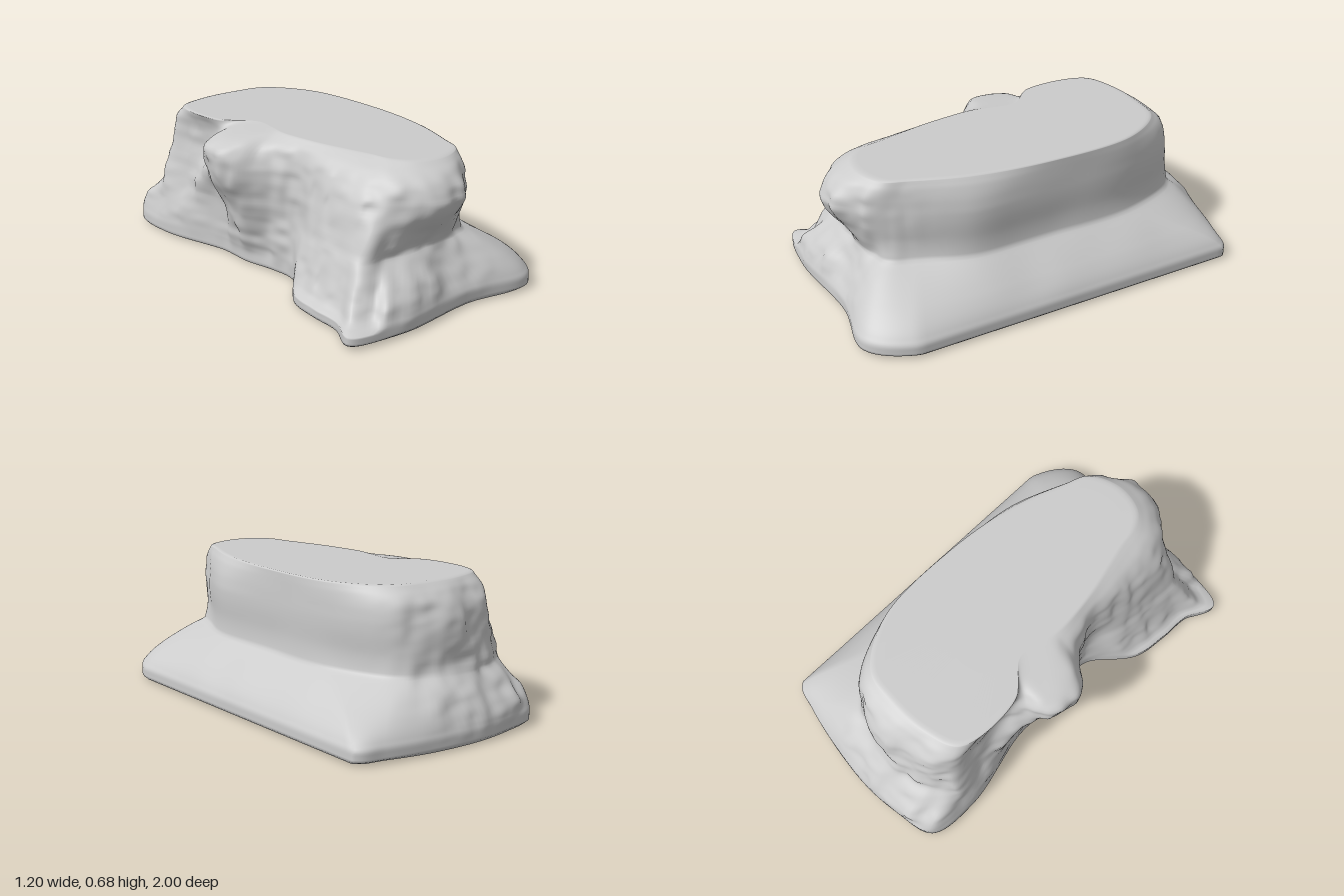
import * as THREE from 'three';

const { smoothstep, clamp, lerp } = THREE.MathUtils;

// Matching plan outlines (x, z), running right side -> front -> left -> back
const base = [.6,0, .6,.45, .595,.8, .45,.99, .12,.95, -.35,.985, -.6,.93, -.54,.78, -.53,.62, -.5,.45,
  -.34,.24, -.34,.08, -.37,-.08, -.37,-.28, -.455,-.68, -.42,-.93, -.22,-.985, .03,-1, .46,-.93, .6,-.87];
const neck = [.385,0, .38,.38, .28,.67, .22,.78, .05,.81, -.2,.82, -.42,.78, -.42,.7, -.42,.58, -.39,.42,
  -.33,.24, -.36,.1, -.45,-.08, -.39,-.25, -.4,-.55, -.39,-.75, -.2,-.84, .05,-.85, .24,-.76, .37,-.46];
const bulge = [.385,0, .38,.38, .26,.68, .2,.8, .04,.94, -.14,.91, -.3,.8, -.34,.72, -.35,.58, -.34,.42,
  -.33,.24, -.4,.09, -.54,-.07, -.51,-.23, -.36,-.35, -.35,-.7, -.2,-.79, .05,-.82, .23,-.74, .37,-.46];
const top = [.38,0, .33,.38, .24,.64, .19,.75, .04,.81, -.1,.78, -.16,.7, -.18,.6, -.21,.48, -.24,.35,
  -.26,.22, -.27,.08, -.25,-.03, -.24,-.15, -.36,-.3, -.34,-.62, -.18,-.69, .04,-.7, .2,-.67, .35,-.45];

const curves = [base, neck, bulge, top].map((o) => {
  const pts = [];
  for (let i = 0; i < o.length; i += 2) pts.push(new THREE.Vector3(o[i], 0, o[i + 1]));
  return new THREE.CatmullRomCurve3(pts, true, 'centripetal');
});

// Side profile: height, and position between the outlines (0 base ... 3 top)
const profile = [[.02, 0], [.06, 0], [.09, .06], [.12, .15], [.16, .32], [.2, .53], [.25, .8], [.29, 1],
  [.36, 1.28], [.43, 1.64], [.5, 1.94], [.55, 2.06], [.59, 2.18], [.635, 2.46], [.662, 2.78], [.676, 2.97]];
const side = new THREE.CatmullRomCurve3(profile.map(([y, t]) => new THREE.Vector3(t, y, 0)), false, 'centripetal');

// Value noise from a repeatable lattice hash
function hash(x, y, z) {
  const s = Math.sin(x * 127.1 + y * 311.7 + z * 74.7) * 43758.5453;
  return (s - Math.floor(s)) * 2 - 1;
}
function noise(x, y, z) {
  const i = [x, y, z].map(Math.floor);
  const [u, v, w] = [x, y, z].map((c, k) => smoothstep(c - i[k], 0, 1));
  const row = (b, c) => lerp(hash(i[0], i[1] + b, i[2] + c), hash(i[0] + 1, i[1] + b, i[2] + c), u);
  return lerp(lerp(row(0, 0), row(1, 0), v), lerp(row(0, 1), row(1, 1), v), w);
}

// Broad lumps, upright gullies and thin strata
function rough(x, y, z) {
  return .016 * noise(7 * x, 6 * y, 7 * z) + .014 * noise(17 * x + 5, 6 * y, 17 * z)
    + .007 * noise(12 * x, 24 * y + 3 * x, 12 * z);
}

// One column of the rock, from base to top
function makeColumn(u) {
  const pts = curves.map((c) => c.getPoint(u));
  pts[0].x = Math.min(pts[0].x, .6);
  // The left foot hollows out quickly above its thin edge; the left knob keeps a blunt crown
  const hollow = 1 - .68 * smoothstep(-pts[0].x, .42, .52);
  const crown = 1 + 1.2 * smoothstep(-pts[2].x, .42, .52);
  const slopes = pts.map((_, k) => (k === 0 || k === 3 ? new THREE.Vector3()
    : pts[k + 1].clone().sub(pts[k - 1]).multiplyScalar(.2)));
  return (t) => {
    const s = t < 1 ? Math.pow(t, hollow) : t > 2 ? 2 + Math.pow(t - 2, crown) : t;
    const i = Math.min(2, Math.floor(s)), f = s - i;
    return pts[i].clone().lerp(pts[i + 1], f)
      .addScaledVector(slopes[i], f * (1 - f) ** 2)
      .addScaledVector(slopes[i + 1], -f * f * (1 - f));
  };
}

function rockGeometry() {
  const N = 240, ROWS = 64;
  // Underside, sides, then flat top; each row is height, blend and scale
  const rows = [.001, .5, .92, .965].map((s) => [.006, 0, s]);
  rows.push([.01, 0, .985]);
  for (let i = 0; i <= ROWS; i++) {
    const p = side.getPoint(i / ROWS);
    rows.push([p.y, clamp(p.x, 0, 3), 1]);
  }
  for (const s of [.985, .96, .9, .5, .001]) rows.push([.68, 3, s]);

  const columns = Array.from({ length: N }, (_, i) => makeColumn(i / N));
  const pos = [], index = [];
  rows.forEach(([y, t, s], r) => {
    columns.forEach((column, i) => {
      const p = column(t).multiplyScalar(s);
      if (s === 1) {
        // The right side stays smooth, the others are weathered
        const wear = (1 - smoothstep(p.x, .1, .36)) * smoothstep(y, .02, .14) * (1 - smoothstep(y, .6, .676));
        const soft = .008 * noise(4 * p.x, 4 * y, 5 * p.z) * smoothstep(y, .04, .16) * (1 - smoothstep(y, .56, .676));
        const k = 1 + (rough(p.x, y, p.z) * wear + soft) / Math.hypot(p.x, p.z);
        p.x *= k;
        p.z *= k;
      }
      // The underside dips slightly towards the front and back edges
      const dip = y < .02 ? .006 * smoothstep(Math.abs(p.z), .7, .95) * (1 - smoothstep(Math.abs(p.x), .2, .5)) : 0;
      pos.push(p.x, y - dip, p.z);
      if (r < rows.length - 1) {
        const a = r * N + i, b = r * N + (i + 1) % N;
        index.push(a, a + N, b, b, a + N, b + N);
      }
    });
  });
  const g = new THREE.BufferGeometry();
  g.setAttribute('position', new THREE.Float32BufferAttribute(pos, 3));
  g.setIndex(index);
  g.computeVertexNormals();
  return g;
}

export function createModel() {
  const group = new THREE.Group();
  group.name = 'rockFormation';
  const rock = new THREE.Mesh(rockGeometry(), new THREE.MeshStandardMaterial({ color: 0xcccccc }));
  rock.name = 'flatToppedRock';
  group.add(rock);
  return group;
}
